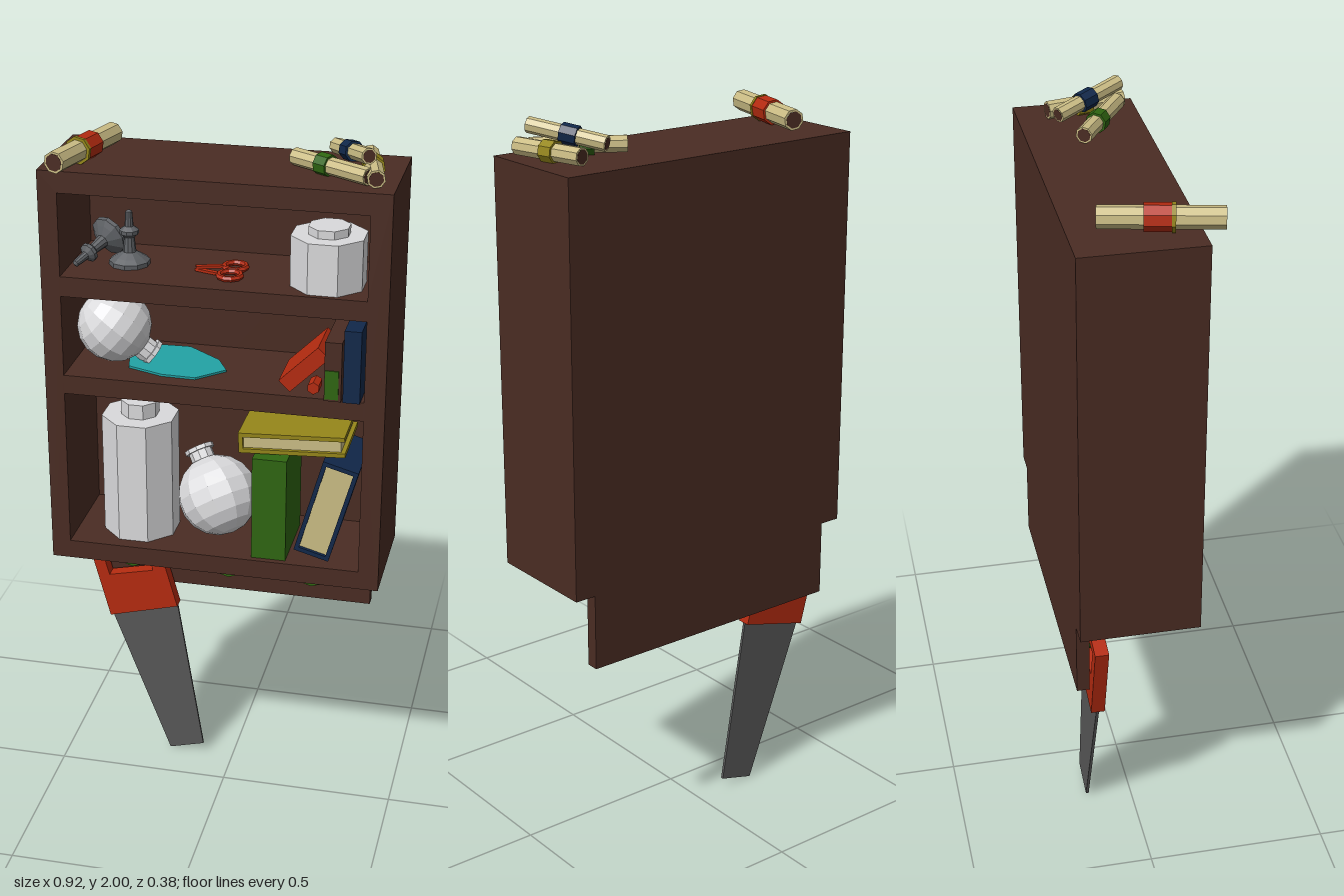
import * as THREE from 'three';

const mat = (name, color, extra = {}) => {
  const m = new THREE.MeshStandardMaterial({ color, ...extra });
  m.name = name;
  return m;
};

export function createModel() {
  const root = new THREE.Group();
  root.name = 'wallCabinet';
  const wood = mat('darkWood', 0x4a2c23);
  const red = mat('red', 0xb52b10);
  const paper = mat('parchment', 0xcbbd85);
  const yellow = mat('yellow', 0x95861a);
  const green = mat('green', 0x2f6611);
  const blue = mat('navy', 0x11284a);
  const pewter = mat('pewter', 0x5e6165);
  const glass = mat('paleGlass', 0xdadadc);
  const teal = mat('teal', 0x22a3a5);
  const steel = mat('bladeSteel', 0x585858);

  const add = (name, geo, material, pos = [0, 0, 0], parent = root) => {
    // unshared vertices give crisp low-poly facets
    const g = geo.index ? geo.toNonIndexed() : geo;
    g.computeVertexNormals();
    const mesh = new THREE.Mesh(g, material);
    mesh.name = name;
    mesh.position.set(...pos);
    parent.add(mesh);
    return mesh;
  };
  const box = (name, x0, x1, y0, y1, z0, z1, m, parent = root) =>
    add(name, new THREE.BoxGeometry(x1 - x0, y1 - y0, z1 - z0), m,
      [(x0 + x1) / 2, (y0 + y1) / 2, (z0 + z1) / 2], parent);
  const group = (name, pos) => {
    const g = new THREE.Group();
    g.name = name;
    g.position.set(...pos);
    root.add(g);
    return g;
  };
  const poly = pts => new THREE.Shape(pts.map(p => new THREE.Vector2(...p)));
  const rect = (x0, x1, y0, y1) => [[x0, y0], [x0, y1], [x1, y1], [x1, y0]];
  const extrude = (shape, depth) => new THREE.ExtrudeGeometry(shape, { depth, bevelEnabled: false });
  const up = new THREE.Vector3(0, 1, 0);

  // Cabinet carcass with three open compartments
  const face = poly(rect(-0.46, 0.46, 0.78, 1.9).reverse());
  for (const [y0, y1] of [[0.833, 1.282], [1.335, 1.56], [1.615, 1.842]])
    face.holes.push(poly(rect(-0.408, 0.404, y0, y1)));
  add('cabinetFrame', extrude(face, 0.29), wood, [0, 0, -0.155]);
  box('backPanel', -0.46, 0.46, 0.78, 1.9, -0.19, -0.155, wood);
  box('pegBoard', -0.4, 0.4, 0.567, 0.78, -0.19, -0.155, wood);
  for (const x of [-0.3, -0.012, 0.234])
    add('peg', new THREE.CylinderGeometry(0.042, 0.03, 0.045, 10).rotateX(Math.PI / 2), green, [x, 0.672, -0.133]);

  // Hand saw hanging from the first peg
  const handle = poly([[-0.37, 0.457], [-0.165, 0.512], [-0.232, 0.757], [-0.435, 0.705]]);
  handle.holes.push(poly([[-0.37, 0.595], [-0.395, 0.685], [-0.255, 0.705], [-0.238, 0.625]]));
  add('sawHandle', extrude(handle, 0.038), red, [0, 0, -0.146]);
  add('sawBlade', extrude(poly([[-0.195, 0], [-0.092, 0.028], [-0.168, 0.511], [-0.367, 0.458]]), 0.008), steel, [0, 0, -0.131]);

  // Jars with short necks
  const jar = (x, y, z, r, h, nr, nh) => {
    const g = group('jar', [x, y, z]);
    add('jarBody', new THREE.CylinderGeometry(r, r, h, 8).rotateY(Math.PI / 8), glass, [0, h / 2, 0], g);
    add('jarNeck', new THREE.CylinderGeometry(nr, nr, nh, 8).rotateY(Math.PI / 8), glass, [0, h + nh / 2, 0], g);
  };
  jar(-0.235, 0.834, 0, 0.107, 0.35, 0.053, 0.042);
  jar(0.285, 1.616, 0.03, 0.102, 0.137, 0.056, 0.022);

  // Tipped round flasks
  const flask = (pos, r, tilt, lean) => {
    const g = group('roundFlask', pos);
    g.rotation.set(lean, 0, tilt);
    add('flaskBulb', new THREE.SphereGeometry(r, 12, 9), glass, [0, 0, 0], g);
    add('flaskNeck', new THREE.CylinderGeometry(0.034, 0.034, 0.04, 10), glass, [0, r + 0.004, 0], g);
    add('flaskLip', new THREE.CylinderGeometry(0.042, 0.042, 0.012, 10), glass, [0, r + 0.026, 0], g);
  };
  flask([-0.018, 0.948, -0.01], 0.113, 0.5, -0.5);
  flask([-0.302, 1.437, 0], 0.101, -2.3, 0.25);

  // Spilled liquid
  const spill = poly([[-0.25, -0.05], [-0.273, 0.04], [-0.222, 0.115], [-0.12, 0.119],
    [-0.023, 0.046], [0.012, -0.019], [-0.058, -0.089], [-0.151, -0.086]]);
  add('spill', extrude(spill, 0.006).rotateX(-Math.PI / 2), teal, [0, 1.336, 0]);

  // Books: spine at the left, page block showing on the other three edges
  const book = (name, pos, w, h, d, cover, roll) => {
    const g = group(name, pos);
    g.rotation.z = roll;
    const t = 0.012;
    for (const s of [-1, 1])
      box('cover', s * (w / 2 - t / 2) - t / 2, s * (w / 2 - t / 2) + t / 2, -h / 2, h / 2, -d / 2, d / 2, cover, g);
    box('spine', -w / 2 + t, w / 2 - t, -h / 2, -h / 2 + t, -d / 2, d / 2, cover, g);
    box('pages', -w / 2 + t, w / 2 - t, -h / 2 + t, h / 2 - t, -d / 2 + 0.01, d / 2 - 0.01, paper, g);
    return g;
  };
  box('greenBook', 0.105, 0.2, 0.834, 1.135, -0.1, 0.12, green);
  book('yellowBook', [0.207, 1.173, -0.01], 0.058, 0.29, 0.21, yellow, -Math.PI / 2 + 0.05);
  const leaning = book('navyBook', [0.308, 0.994, 0.01], 0.1, 0.285, 0.21, blue, -0.27);
  box('topEdge', -0.038, 0.038, 0.1305, 0.1425, -0.105, 0.105, blue, leaning);

  // Small books on the middle shelf
  box('tallNavyBook', 0.35, 0.395, 1.336, 1.536, -0.03, 0.149, blue);
  box('brownBook', 0.3, 0.345, 1.336, 1.5, -0.03, 0.147, wood);
  box('bookLabel', 0.302, 0.338, 1.342, 1.422, 0.147, 0.15, green);
  const redBook = box('redBook', 0.17, 0.315, 1.39, 1.432, -0.02, 0.125, red);
  redBook.position.set(0.242, 1.408, 0.052);
  redBook.rotation.z = 0.78;
  add('redStopper', new THREE.CylinderGeometry(0.017, 0.017, 0.05, 6).rotateX(Math.PI / 2), red, [0.268, 1.358, 0.1]);

  // Scissors lying on the top shelf
  const scissors = group('scissors', [0, 1.624, 0.015]);
  for (const s of [-1, 1]) {
    add('fingerRing', new THREE.TorusGeometry(0.03, 0.008, 6, 10).rotateX(Math.PI / 2), red, [0.028, 0, s * 0.034], scissors);
    add('scissorBlade', new THREE.BoxGeometry(0.075, 0.007, 0.014), red, [-0.035, s * 0.0035, -s * 0.01], scissors)
      .rotation.y = s * 0.3;
  }

  // Two candlesticks, one upright and one fallen over
  const profile = [[0, 0], [0.055, 0], [0.055, 0.012], [0.04, 0.022], [0.018, 0.035], [0.014, 0.075],
    [0.026, 0.085], [0.026, 0.095], [0.012, 0.105], [0.009, 0.145], [0, 0.15]].map(p => new THREE.Vector2(...p));
  const candlestick = (pos, dir) => add('candlestick', new THREE.LatheGeometry(profile, 10), pewter, pos)
    .quaternion.setFromUnitVectors(up, new THREE.Vector3(...dir).normalize());
  candlestick([-0.255, 1.616, 0], [0, 1, 0]);
  candlestick([-0.318, 1.678, -0.045], [-0.42, -0.3, 0.8]);

  // Tied scrolls on the top: start, end, radius, ribbon colour, ribbon width
  const scroll = (a, b, r, ribbon, w, at) => {
    const A = new THREE.Vector3(...a), B = new THREE.Vector3(...b);
    const L = A.distanceTo(B);
    const g = group('scroll', A.clone().lerp(B, 0.5).toArray());
    g.quaternion.setFromUnitVectors(up, B.sub(A).normalize());
    add('rolledSheet', new THREE.CylinderGeometry(r, r, L, 8, 1, true), paper, [0, 0, 0], g);
    for (const s of [-1, 1]) {
      add('rollCore', new THREE.CircleGeometry(r * 0.8, 8).rotateX(-s * Math.PI / 2), wood, [0, s * (L / 2 + 0.0005), 0], g);
      add('rollEdge', new THREE.RingGeometry(r * 0.8, r, 8, 1).rotateX(-s * Math.PI / 2), paper, [0, s * L / 2, 0], g);
    }
    add('ribbon', new THREE.CylinderGeometry(r + 0.006, r + 0.006, w, 8), ribbon, [0, at, 0], g);
    return g;
  };
  const big = scroll([-0.325, 1.935, -0.115], [-0.396, 1.938, 0.185], 0.029, red, 0.068, -0.008);
  add('ribbonTrim', new THREE.CylinderGeometry(0.037, 0.037, 0.01, 8), yellow, [0, 0.03, 0], big);
  scroll([0.177, 1.925, -0.048], [0.388, 1.925, 0.082], 0.023, green, 0.038, -0.02);
  scroll([0.362, 1.925, -0.112], [0.41, 1.925, 0.1], 0.024, yellow, 0.04, -0.005);
  scroll([0.276, 1.945, -0.098], [0.388, 1.978, 0.085], 0.021, blue, 0.045, -0.008);

  return root;
}
